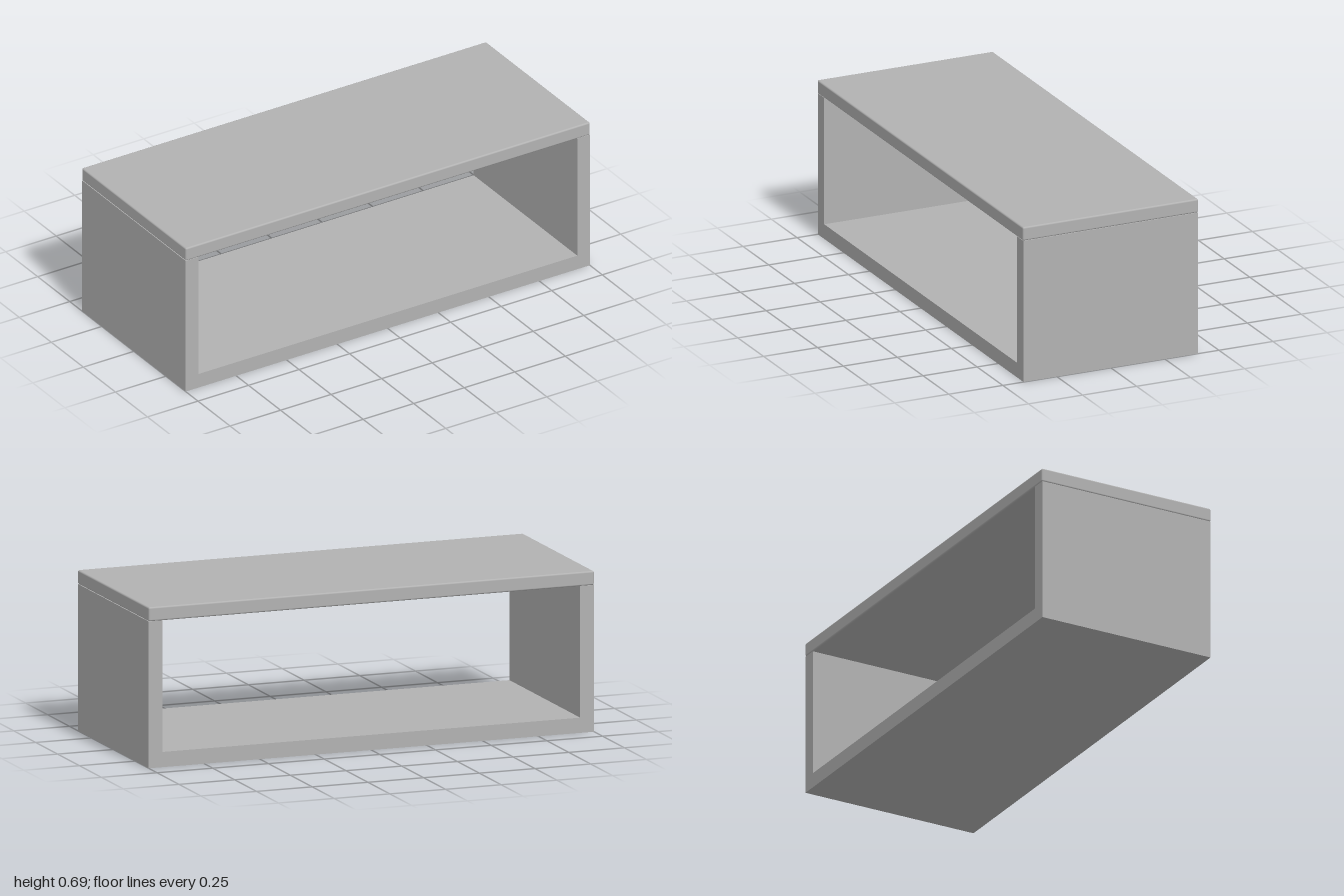
import * as THREE from 'three';
import { RoundedBoxGeometry } from 'three/addons/geometries/RoundedBoxGeometry.js';

export function createModel() {
  const group = new THREE.Group();
  group.name = 'openBench';
  const grey = new THREE.MeshStandardMaterial({ color: 0xb2b2b2 });
  grey.name = 'grey';

  const wall = 0.0625, floor = 0.065, bodyTop = 0.627, height = 0.687;
  const bodyDepth = 0.808, topDepth = 0.812;

  // U-shaped body: floor and two side walls, open at front and back
  const outline = new THREE.Shape([
    [-1, 0], [1, 0], [1, bodyTop], [1 - wall, bodyTop],
    [1 - wall, floor], [-1 + wall, floor], [-1 + wall, bodyTop], [-1, bodyTop],
  ].map(([x, y]) => new THREE.Vector2(x, y)));
  const bodyGeometry = new THREE.ExtrudeGeometry(outline, { depth: bodyDepth, bevelEnabled: false });
  bodyGeometry.translate(0, 0, -bodyDepth / 2);
  const body = new THREE.Mesh(bodyGeometry, grey);
  body.name = 'body';
  group.add(body);

  // Top board with softly rounded edges
  const thickness = height - bodyTop;
  const top = new THREE.Mesh(new RoundedBoxGeometry(2, thickness, topDepth, 3, 0.007), grey);
  top.name = 'topBoard';
  top.position.y = bodyTop + thickness / 2;
  group.add(top);

  return group;
}
